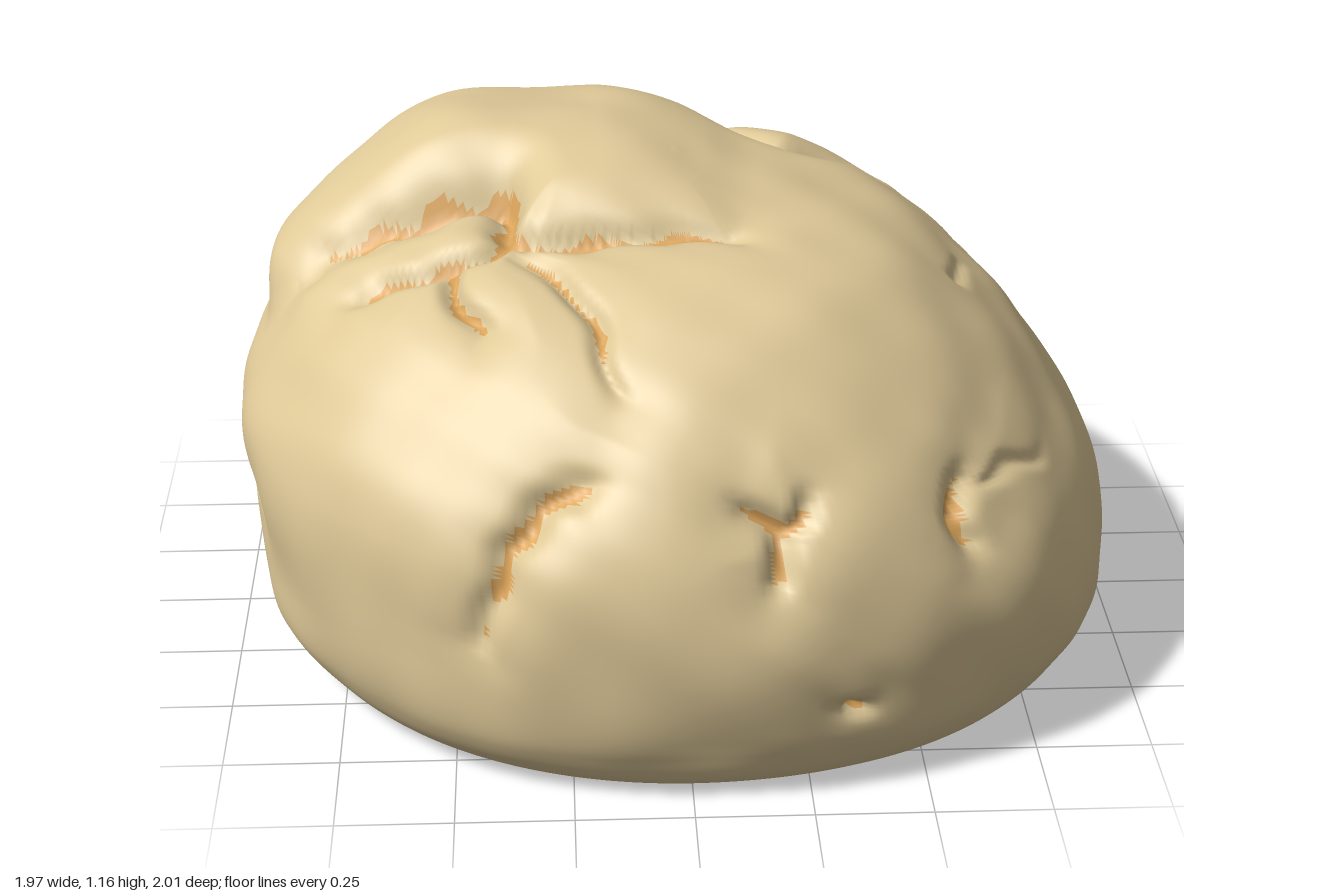
import * as THREE from 'three';

const smooth = (v, a, b) => THREE.MathUtils.smoothstep(v, a, b);

// Side profiles [radius, height] from crown to base, for +x, +z, -x, -z
const PROFILES = [
  [[0.3, 1.03], [0.5, 0.95], [0.7, 0.785], [0.85, 0.6], [0.95, 0.43], [0.985, 0.25], [0.96, 0.1], [0.88, 0.02]],
  [[0.3, 1.035], [0.6, 0.94], [0.78, 0.8], [0.9, 0.67], [0.98, 0.5], [1.0, 0.3], [0.96, 0.11], [0.88, 0.01]],
  [[0.3, 1.06], [0.6, 0.98], [0.82, 0.86], [0.92, 0.73], [0.985, 0.57], [0.96, 0.25], [0.93, 0.12], [0.82, 0.01]],
  [[0.3, 1.06], [0.55, 0.98], [0.73, 0.84], [0.86, 0.68], [0.95, 0.5], [1.005, 0.25], [0.99, 0.11], [0.92, 0.03]],
].map((side) => new THREE.CatmullRomCurve3(
  [[0, 1.07], [0.12, 1.067], ...side, [0.4, 0.008], [0, 0.008]].map(([r, y]) => new THREE.Vector3(r, y, 0))));

// Extra fullness between neighbouring profiles
const FULLNESS = [0.025, 0.012, 0.035, 0.03];

// Plane in which a crack is drawn, and how far the surface faces it
const SIDES = {
  top: [(p) => [p.x, p.z], (n) => n.y],
  base: [(p) => [p.x, p.z], (n) => -n.y],
  front: [(p) => [p.x, p.y], (n) => n.z],
  right: [(p) => [p.z, p.y], (n) => n.x],
  left: [(p) => [p.z, p.y], (n) => -n.x],
};

// Cracks: side, half width of the exposed crumb (0 = plain crease), path
const CROWN_CRACKS = [
  ['top', 0.026, [[-0.8, 0.06], [-0.55, 0.07], [-0.39, 0.09], [-0.37, 0.25], [0.12, 0.28]]],
  ['top', 0.022, [[-0.33, 0.25], [-0.5, 0.3], [-0.72, 0.27]]],
  ['top', 0.016, [[-0.5, 0.29], [-0.49, 0.42], [-0.43, 0.54]]],
  ['top', 0.011, [[-0.38, 0.28], [-0.22, 0.5], [-0.15, 0.73]]],
  ['top', 0, [[0.03, -0.97], [0.1, -0.85], [0.02, -0.64]]],
  ['top', 0.04, [[0.09, -0.8], [0.06, -0.57], [0.25, -0.32], [0.43, -0.36]]],
  ['top', 0, [[0.4, -0.36], [0.64, -0.32], [0.68, -0.2]]],
  ['top', 0, [[0.48, -0.85], [0.7, -0.52], [0.77, -0.25]]],
  ['top', 0.024, [[-0.55, -0.62], [-0.38, -0.59], [-0.15, -0.71], [0.02, -0.64]]],
  ['top', 0, [[0.62, 0.15], [0.66, 0]]],
];
const FLANK_CRACKS = [
  ['front', 0.018, [[-0.45, 0.36], [-0.39, 0.55], [-0.29, 0.68], [-0.2, 0.7]]],
  ['front', 0.02, [[0.1, 0.67], [0.18, 0.61], [0.17, 0.5]]],
  ['front', 0.014, [[0.17, 0.59], [0.24, 0.67]]],
  ['front', 0.02, [[0.59, 0.64], [0.57, 0.56], [0.61, 0.49]]],
  ['front', 0, [[0.57, 0.58], [0.66, 0.61], [0.78, 0.57]]],
  ['front', 0.014, [[0.31, 0.21], [0.37, 0.21]]],
  ['right', 0.02, [[-0.1, 0.28], [-0.24, 0.27], [-0.38, 0.34]]],
  ['right', 0.015, [[-0.44, 0.56], [-0.54, 0.53]]],
  ['right', 0.02, [[-0.58, 0.56], [-0.7, 0.52]]],
  ['left', 0, [[0.25, 0.36], [0, 0.39], [-0.35, 0.34]]],
  ['base', 0.013, [[0.7, 0.5], [0.35, 0.49], [0, 0.53], [-0.5, 0.42]]],
  ['base', 0.013, [[-0.4, 0.02], [-0.55, 0.05], [-0.8, -0.12]]],
];

// Round each path into a smooth line
const CRACKS = [...CROWN_CRACKS, ...FLANK_CRACKS].map(([side, width, path]) => {
  const curve = new THREE.CatmullRomCurve3(path.map(([u, v]) => new THREE.Vector3(u, v, 0)));
  return [side, width, curve.getPoints(5 * (path.length - 1)).map((p) => [p.x, p.y])];
});

// Outline (x, z) of the raised crust slab on the crown
const SLAB = [[-1.0, 0.05], [-0.73, 0.1], [-0.38, 0.08], [-0.38, 0.25], [0.1, 0.28], [0.2, 0.1], [0.22, -0.28],
  [0.04, -0.62], [-0.15, -0.7], [-0.38, -0.6], [-0.75, -0.58], [-1.0, -0.3]];

// Distance from (x, y) to a polyline, and where along it (0 to 1)
function nearest(x, y, pts) {
  let best = 9, along = 0;
  for (let i = 0; i < pts.length - 1; i++) {
    const [ax, ay] = pts[i], dx = pts[i + 1][0] - ax, dy = pts[i + 1][1] - ay;
    const t = THREE.MathUtils.clamp(((x - ax) * dx + (y - ay) * dy) / (dx * dx + dy * dy), 0, 1);
    const d = Math.hypot(x - ax - t * dx, y - ay - t * dy);
    if (d < best) { best = d; along = (i + t) / (pts.length - 1); }
  }
  return [best, along];
}

function insideSlab(x, y) {
  let inside = false;
  SLAB.forEach(([ax, ay], i) => {
    const [bx, by] = SLAB[(i + 1) % SLAB.length];
    if ((ay > y) !== (by > y) && x < ax + ((y - ay) / (by - ay)) * (bx - ax)) inside = !inside;
  });
  return inside;
}

// Slab thickness: thin at its front lip, fuller behind, with a ridge near its left end
function slabHeight(p) {
  const [d] = nearest(p.x, p.z, [...SLAB, SLAB[0]]);
  const ridge = 0.045 * Math.exp(-(((p.x + 0.5) / 0.16) ** 2));
  return (0.095 + ridge) * Math.sqrt(smooth(d, -0.01, 0.14)) * (0.4 + 0.6 * smooth(-p.z, -0.25, 0.15))
    * (1 - smooth(p.x, -0.17, 0.2)) * smooth(p.y, 0.7, 0.83) * (1 - 0.3 * smooth(-p.x, 0.6, 0.9));
}

// Outward shift of a surface point, and how deep inside a crumb opening it lies
function relief(p, n) {
  const wobble = Math.sin(p.x * 23 + p.y * 9) * Math.sin(p.z * 21 - p.y * 17);
  const ripple = Math.sin(p.x * 31 - p.z * 26 + p.y * 38);
  let shift = 0.007 * Math.sin(p.x * 7 + p.y * 5 + 1) * Math.sin(p.z * 6 - p.y * 8)
    + 0.004 * Math.sin(p.x * 13 - p.z * 6) * Math.sin(p.y * 15 + p.z * 9) + 0.002 * wobble;
  shift *= smooth(p.y, 0.01, 0.15);
  if (p.y > 0.6 && insideSlab(p.x, p.z)) shift += slabHeight(p);

  let crumb = -1, groove = 0;
  for (const [side, width, path] of CRACKS) {
    const [project, facing] = SIDES[side];
    const face = smooth(facing(n), 0.05, 0.3);
    if (face === 0) continue;
    const [u, v] = project(p);
    const [d, along] = nearest(u + 0.01 * wobble, v + 0.007 * ripple, path);
    if (d > 0.3) continue;
    const taper = Math.sqrt(Math.max(0, Math.sin(Math.PI * along)));
    const sharp = Math.exp(-((d / (0.014 + width * 0.6)) ** 2)) * (0.3 + 0.7 * taper);
    const soft = Math.exp(-((d / 0.085) ** 2)) * (side === 'base' ? 0 : 1);
    groove = Math.max(groove, face * (0.022 + 1.7 * width) * (0.75 * sharp + 0.35 * soft));
    if (width) crumb = Math.max(crumb, face * width * taper * (0.85 + 0.35 * ripple) - d);
  }
  return [shift - groove, crumb];
}

function loafGeometry(rows, cols) {
  const positions = [], faces = [], last = 1 + (rows - 1) * cols, baseRows = 36;
  const id = (i, j) => (i === 0 ? 0 : i === rows ? last : 1 + (i - 1) * cols + (j % cols));
  // Blend the four profiles around the loaf
  for (let i = 0; i <= rows; i++) {
    const below = i - rows + baseRows;
    const t = below < 0 ? (i / (rows - baseRows)) * 0.83 : 0.83 + (below / baseRows) * 0.17;
    const ring = PROFILES.map((c) => c.getPoint(t));
    for (let j = 0; j < (i % rows ? cols : 1); j++) {
      const a = (j / cols) * Math.PI * 2, q = Math.floor((j * 4) / cols);
      const k = Math.sin(a - (q * Math.PI) / 2) ** 2;
      const p = ring[q].clone().lerp(ring[(q + 1) % 4], k);
      const r = p.x * (1 + FULLNESS[q] * Math.sin(2 * a) ** 2);
      positions.push(Math.cos(a) * r, p.y, Math.sin(a) * r);
    }
  }
  for (let i = 0; i < rows; i++) {
    for (let j = 0; j < cols; j++) {
      const a = id(i, j), b = id(i, j + 1), c = id(i + 1, j), d = id(i + 1, j + 1);
      if (i > 0) faces.push([a, b, c]);
      if (i < rows - 1) faces.push([b, d, c]);
    }
  }
  const geometry = new THREE.BufferGeometry();
  geometry.setAttribute('position', new THREE.Float32BufferAttribute(positions, 3));
  geometry.setIndex(faces.flat());
  geometry.computeVertexNormals();

  // Raise the slab, press in the cracks, note where the crumb shows
  const pos = geometry.attributes.position, nor = geometry.attributes.normal, crumb = [];
  const p = new THREE.Vector3(), n = new THREE.Vector3();
  for (let i = 0; i < pos.count; i++) {
    p.fromBufferAttribute(pos, i);
    n.fromBufferAttribute(nor, i);
    const [shift, open] = relief(p, n);
    crumb.push(open);
    p.addScaledVector(n, shift);
    pos.setXYZ(i, p.x, Math.max(0, p.y), p.z);
  }
  // Crust faces first, then crumb faces
  const isCrumb = ([a, b, c]) => crumb[a] + crumb[b] + crumb[c] > 0;
  const crust = faces.filter((f) => !isCrumb(f)).flat(), inner = faces.filter(isCrumb).flat();
  geometry.setIndex([...crust, ...inner]);
  geometry.addGroup(0, crust.length, 0);
  geometry.addGroup(crust.length, inner.length, 1);
  geometry.computeVertexNormals();
  return geometry;
}

export function createModel() {
  const crust = new THREE.MeshStandardMaterial({ color: 0xdfc998 });
  crust.name = 'crust';
  const crumb = new THREE.MeshStandardMaterial({ color: 0xdda65c });
  crumb.name = 'crumb';
  const loaf = new THREE.Mesh(loafGeometry(216, 340), [crust, crumb]);
  loaf.name = 'breadRoll';
  const model = new THREE.Group();
  model.name = 'bread';
  model.add(loaf);
  return model;
}
